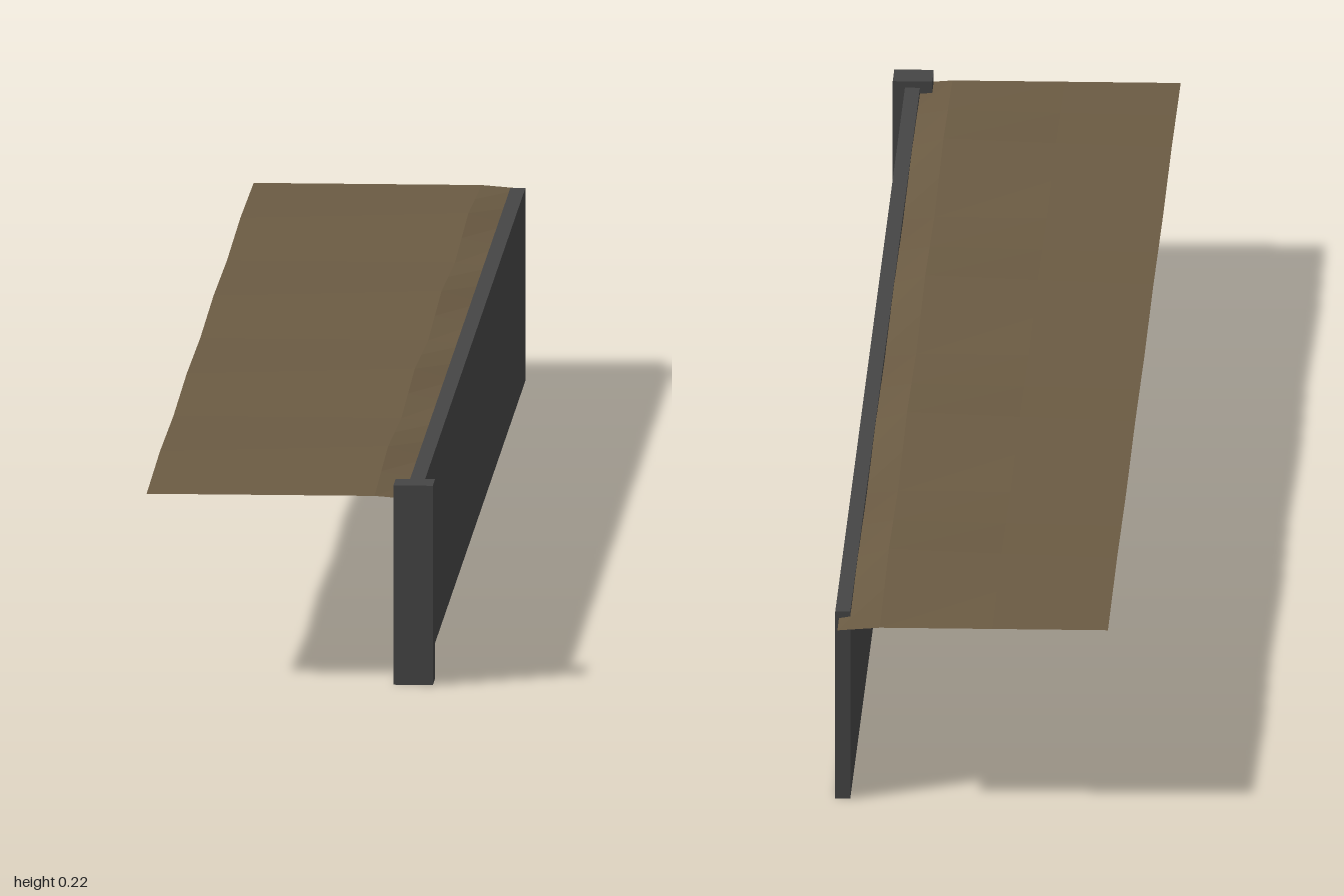
import * as THREE from 'three';

export function createModel() {
  const group = new THREE.Group();
  const concrete = new THREE.MeshStandardMaterial({ color: 0x454545 });
  concrete.name = 'dark grey concrete';
  const earth = new THREE.MeshStandardMaterial({ color: 0x6b5b43, side: THREE.DoubleSide, flatShading: true });
  earth.name = 'brown earth';

  const addBox = (name, w, h, d, x, z) => {
    const mesh = new THREE.Mesh(new THREE.BoxGeometry(w, h, d), concrete);
    mesh.position.set(x, h / 2, z);
    mesh.name = name;
    group.add(mesh);
  };

  // Retaining wall and its end post
  addBox('retainingWall', 0.016, 0.208, 1.914, 0.131, 0);
  addBox('endPost', 0.042, 0.215, 0.043, 0.131, 0.9785);

  // Open ground sheet: four low swells, highest along a ridge beside the wall
  const columns = [-0.153, -0.03, 0.09, 0.135];
  const swell = [0.004, 0.0075, 0.0115, 0.003];
  const base = [0.2035, 0.2035, 0.2035, 0.2];
  const geometry = new THREE.PlaneGeometry(2, 2, columns.length - 1, 16).rotateX(-Math.PI / 2);
  const p = geometry.attributes.position;
  for (let i = 0; i < p.count; i++) {
    const c = i % columns.length;
    const wave = Math.sin(p.getZ(i) * Math.PI * 2) ** 2;
    p.setX(i, columns[c]);
    p.setY(i, base[c] + swell[c] * wave);
  }
  geometry.computeVertexNormals();
  const ground = new THREE.Mesh(geometry, earth);
  ground.name = 'ground';
  group.add(ground);

  return group;
}
